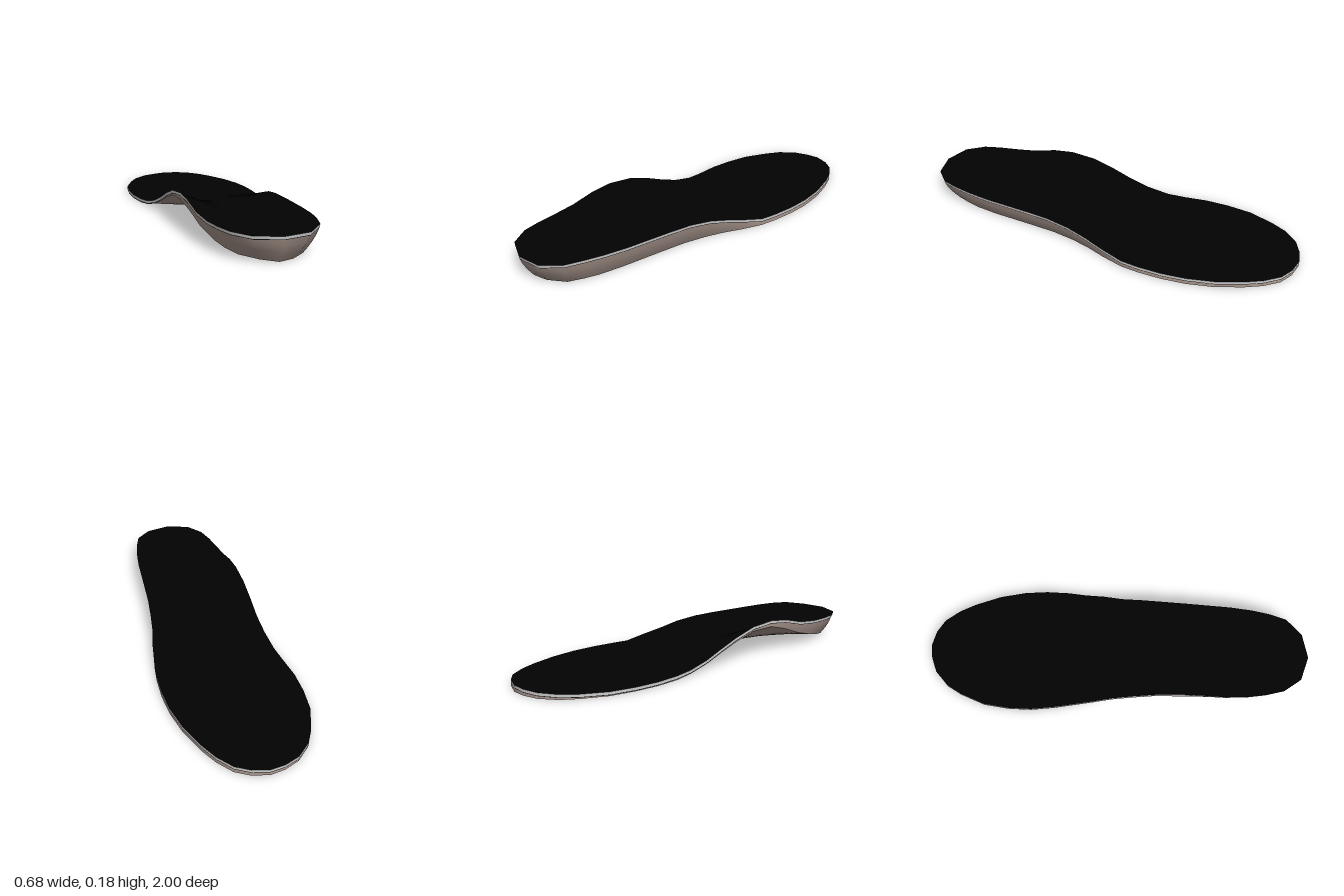
import * as THREE from 'three';
import { mergeVertices } from 'three/addons/utils/BufferGeometryUtils.js';

// Cross-sections from heel to toe:
// z, inner x, outer x, inner rim y, middle y, outer rim y, lift of the hollow under the arch
const sections = [
  [1.0, 0.055, 0.055, 0.128, 0.128, 0.128],
  [0.965, -0.07, 0.18, 0.128, 0.111, 0.129, 0.008],
  [0.88, -0.14, 0.255, 0.13, 0.093, 0.137, 0.016],
  [0.79, -0.17, 0.277, 0.131, 0.086, 0.139, 0.026],
  [0.7, -0.19, 0.29, 0.133, 0.083, 0.138, 0.044],
  [0.58, -0.208, 0.297, 0.145, 0.081, 0.136, 0.077],
  [0.46, -0.22, 0.297, 0.175, 0.08, 0.135, 0.122],
  [0.35, -0.229, 0.297, 0.187, 0.08, 0.134, 0.152],
  [0.22, -0.239, 0.297, 0.174, 0.078, 0.13, 0.148],
  [0.1, -0.248, 0.302, 0.135, 0.072, 0.115, 0.11],
  [0.0, -0.256, 0.309, 0.094, 0.06, 0.09, 0.071],
  [-0.1, -0.272, 0.325, 0.056, 0.045, 0.065, 0.035],
  [-0.21, -0.292, 0.335, 0.03, 0.033, 0.038, 0.009],
  [-0.3, -0.312, 0.339, 0.023, 0.031, 0.037],
  [-0.42, -0.335, 0.334, 0.022, 0.03, 0.037],
  [-0.54, -0.341, 0.316, 0.022, 0.03, 0.037],
  [-0.67, -0.332, 0.279, 0.023, 0.031, 0.037],
  [-0.8, -0.29, 0.22, 0.025, 0.032, 0.037],
  [-0.88, -0.25, 0.172, 0.028, 0.033, 0.037],
  [-0.95, -0.183, 0.11, 0.031, 0.034, 0.037],
  [-0.985, -0.11, 0.042, 0.033, 0.035, 0.037],
  [-1.0, -0.04, -0.04, 0.036, 0.036, 0.036],
];
const FLOOR = 0.003;
const ACROSS = 14;

// Point on the side wall; side is -1 (inner) or 1 (outer), level maps rim and bottom heights to y
function wallPoint([z, xl, xr, hl, , hr, lift = 0], side, level) {
  const h = side < 0 ? hl : hr;
  const bottom = side < 0 ? FLOOR + lift : FLOOR;
  const y = level(h, bottom);
  const lean = Math.pow(1 - (y - bottom) / (h - bottom), 1.5);
  const inset = Math.min(0.6 * Math.max(0, h - bottom - 0.035), 0.25 * (xr - xl));
  const heel = 0.062 * Math.max(0, (z - 0.7) / 0.3);
  return [(side < 0 ? xl : xr) - side * inset * lean, y, z - heel * lean];
}

// Smooth surface through rows of points
function surface(name, rows, color) {
  const n = rows[0].length, index = [];
  for (let i = 0; i < rows.length - 1; i++) {
    for (let j = 0; j < n - 1; j++) {
      const a = i * n + j, c = a + n;
      index.push(a, a + 1, c, a + 1, c + 1, c);
    }
  }
  let geometry = new THREE.BufferGeometry();
  geometry.setAttribute('position', new THREE.Float32BufferAttribute(rows.flat(2), 3));
  geometry.setIndex(index);
  geometry = mergeVertices(geometry, 1e-5);
  geometry.computeVertexNormals();
  const material = new THREE.MeshStandardMaterial({ color, side: THREE.DoubleSide });
  const mesh = new THREE.Mesh(geometry, material);
  mesh.name = name;
  return mesh;
}

// Band around the outline, one row of points per level
function band(name, levels, color) {
  const rows = levels.map((level) => [
    ...sections.map((s) => wallPoint(s, 1, level)),
    ...[...sections].reverse().map((s) => wallPoint(s, -1, level)),
  ]);
  return surface(name, rows, color);
}

export function createModel() {
  const group = new THREE.Group();
  group.name = 'insole';
  const foam = 0xa8968d;
  const steps = Array.from({ length: ACROSS + 1 }, (_, j) => j / ACROSS);

  // Foam base: leaning wall, and an underside that ramps up below the arch
  const foamLevels = [0, 0.25, 0.5, 0.75, 1].map((t) => (h, b) => b + (h - 0.016 - b) * t);
  group.add(band('foamWall', foamLevels, foam));
  const underside = sections.map((s) => {
    const l = wallPoint(s, -1, foamLevels[0]), r = wallPoint(s, 1, foamLevels[0]);
    return [...steps].reverse().map((u) => {
      const ramp = Math.pow(Math.max(0, 1 - u / 0.8), 1.45);
      return [THREE.MathUtils.lerp(l[0], r[0], u), FLOOR + (l[1] - FLOOR) * ramp, l[2]];
    });
  });
  group.add(surface('foamUnderside', underside, foam));

  // Dark bonding line and pale edge of the cover
  group.add(band('bondingLine', [(h) => h - 0.016, (h) => h - 0.013], 0x151515));
  group.add(band('coverEdge', [(h) => h - 0.013, (h) => h], 0xe0e0e0));

  // Cupped black footbed with raised arch
  const footbed = sections.map(([z, xl, xr, hl, mid, hr]) => steps.map((u) => {
    const rim = u < 0.5 ? hl : hr;
    const y = mid + (rim - mid) * Math.pow(Math.abs(2 * u - 1), 1.25);
    return [THREE.MathUtils.lerp(xl, xr, u), y, z];
  }));
  group.add(surface('footbed', footbed, 0x020202));
  return group;
}
